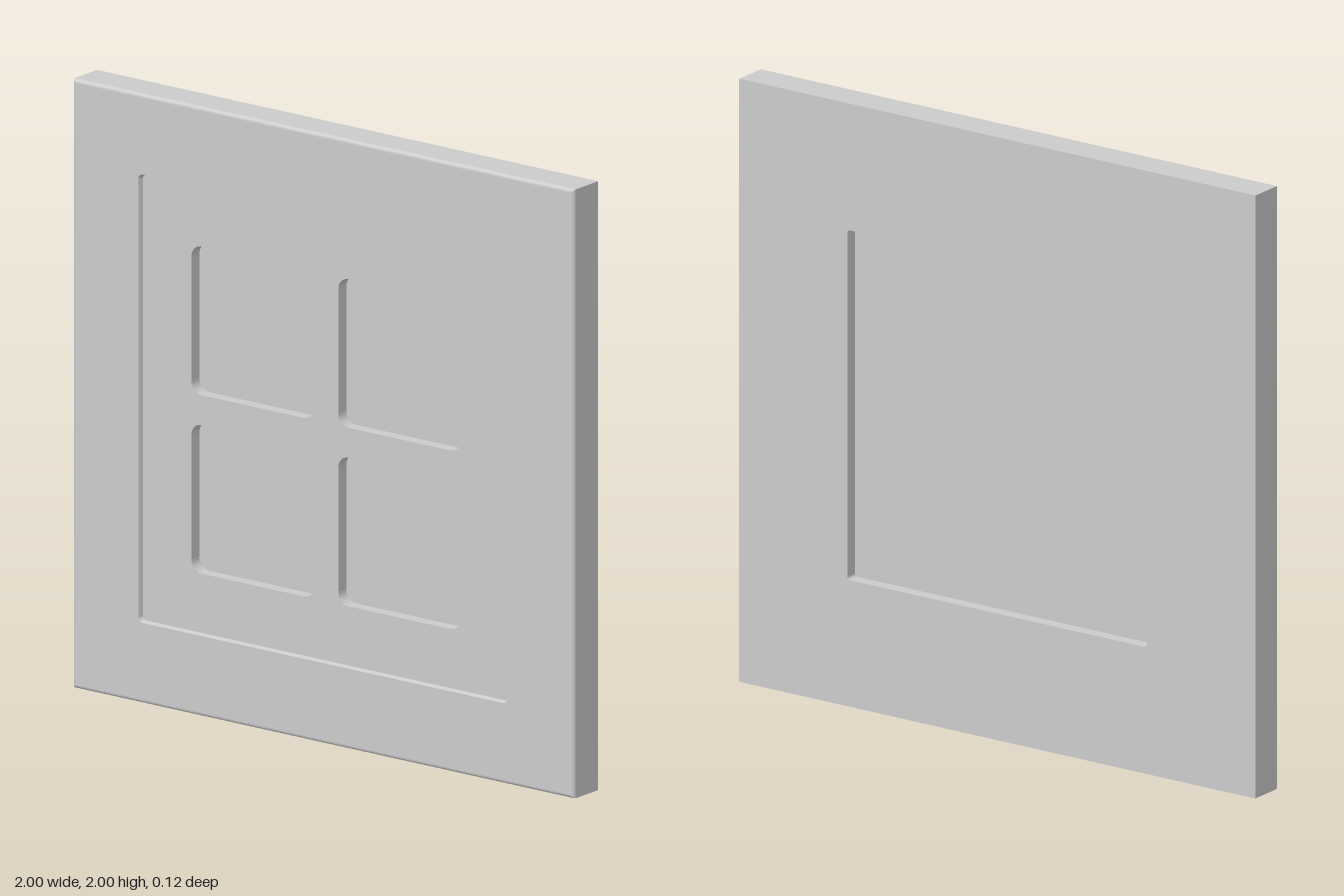
import * as THREE from 'three';

const CENTER_Y = 1;
const material = new THREE.MeshStandardMaterial({ color: 0xcccccc });

// Counter-clockwise rounded square centred on (cx, cy)
function roundedSquare(half, radius, cx = 0, cy = 0, steps = 6) {
  const points = [];
  for (let corner = 0; corner < 4; corner++) {
    const mid = Math.PI / 4 + corner * Math.PI / 2;
    const x = cx + Math.sign(Math.cos(mid)) * (half - radius);
    const y = cy + Math.sign(Math.sin(mid)) * (half - radius);
    for (let i = 0; i <= steps; i++) {
      const a = (corner + i / steps) * Math.PI / 2;
      points.push(new THREE.Vector2(x + radius * Math.cos(a), y + radius * Math.sin(a)));
    }
  }
  return points;
}

// Skin a series of nested square loops given as [half size, corner radius, z]
function loft(sections) {
  const positions = [];
  const index = [];
  const loops = sections.map(([half, radius]) => roundedSquare(half, radius));
  const n = loops[0].length;
  loops.forEach((loop, s) => loop.forEach(p => positions.push(p.x, p.y, sections[s][2])));
  for (let s = 0; s < loops.length - 1; s++) {
    for (let j = 0; j < n; j++) {
      const a = s * n + j, b = s * n + (j + 1) % n;
      index.push(a, b, b + n, a, b + n, a + n);
    }
  }
  const indexed = new THREE.BufferGeometry();
  indexed.setAttribute('position', new THREE.Float32BufferAttribute(positions, 3));
  indexed.setIndex(index);
  const geometry = indexed.toNonIndexed();
  geometry.computeVertexNormals();
  return geometry;
}

export function createModel() {
  const group = new THREE.Group();
  group.name = 'windowPanel';

  const add = (name, geometry, z = 0) => {
    const mesh = new THREE.Mesh(geometry, material);
    mesh.name = name;
    mesh.position.set(0, CENTER_Y, z);
    group.add(mesh);
  };

  // Outer frame: back recess, back face, sides, eased front edge, front ledge
  const front = 0.0625, back = -0.0625, ease = 0.012;
  const sections = [
    [0.58, 0.01, -0.0215],
    [0.58, 0.01, back],
    [1, 0.001, back],
  ];
  for (let i = 0; i <= 4; i++) {
    const a = i / 4 * Math.PI / 2;
    sections.push([1 - ease * (1 - Math.cos(a)), 0.001, front - ease * (1 - Math.sin(a))]);
  }
  sections.push([0.736, 0.016, front], [0.731, 0.014, 0.047]);
  add('frame', loft(sections));

  // Recessed cross-bar panel with four rounded openings
  const panel = new THREE.Shape(roundedSquare(0.735, 0.016));
  for (const sx of [-1, 1]) {
    for (const sy of [-1, 1]) {
      panel.holes.push(new THREE.Path(roundedSquare(0.244, 0.04, sx * 0.293, sy * 0.293)));
    }
  }
  const bars = new THREE.ExtrudeGeometry(panel, { depth: 0.042, bevelEnabled: false });
  add('crossBars', bars, 0.005);

  // Pane closing the openings, also the floor of the back recess
  add('pane', new THREE.BoxGeometry(1.2, 1.2, 0.0275), -0.00775);

  return group;
}
